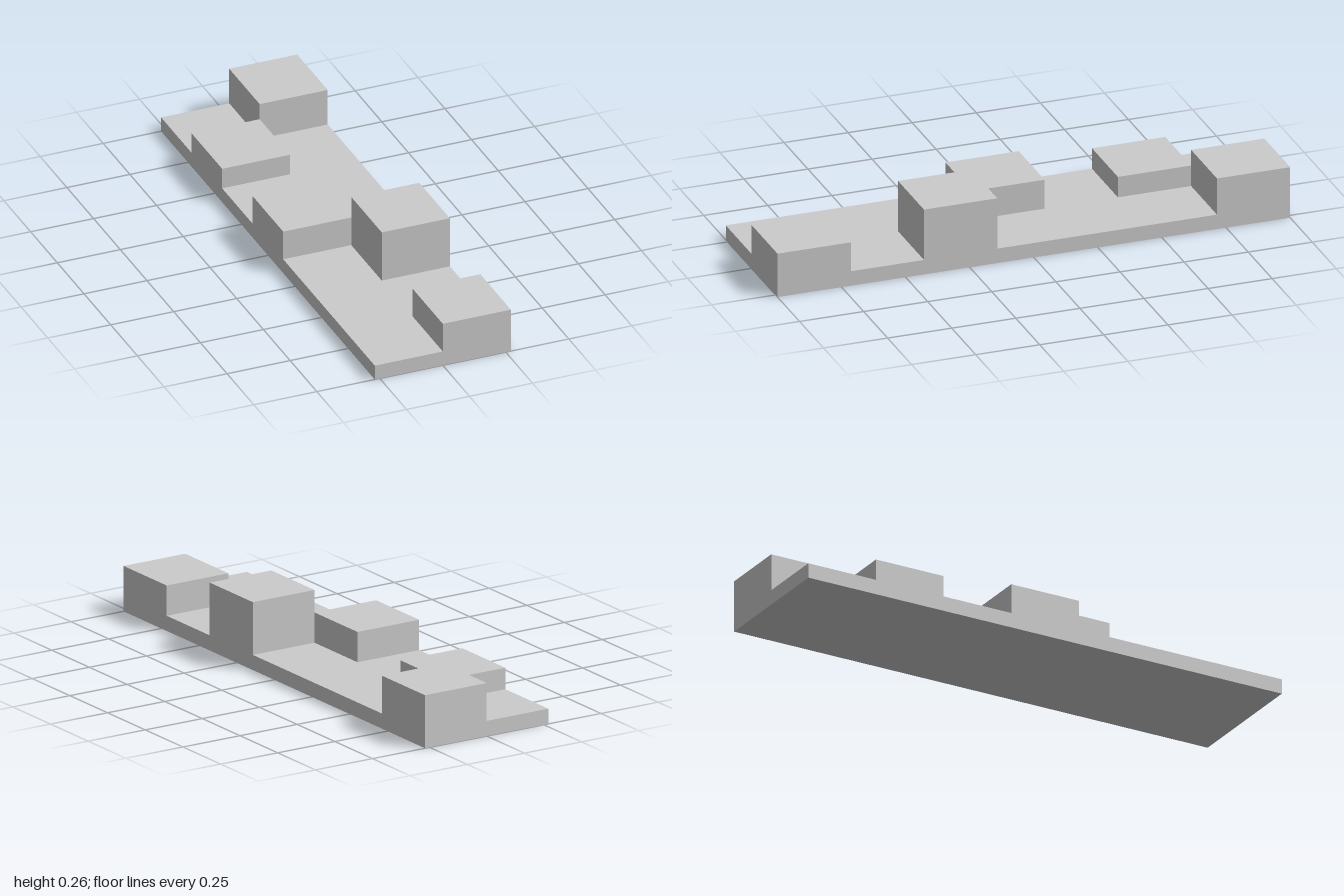
import * as THREE from 'three';

const HALF_W = 0.27, BASE_H = 0.058, CELL = 2 / 7;

export function createModel() {
  const model = new THREE.Group();
  model.name = 'steppedBlockPlate';
  const material = new THREE.MeshStandardMaterial({ color: 0xcccccc, flatShading: true });

  // Box given by its lower and upper limits on each axis
  function addBox(name, x0, x1, y0, y1, z0, z1) {
    const mesh = new THREE.Mesh(new THREE.BoxGeometry(x1 - x0, y1 - y0, z1 - z0), material);
    mesh.position.set((x0 + x1) / 2, (y0 + y1) / 2, (z0 + z1) / 2);
    mesh.name = name;
    model.add(mesh);
  }

  // Flat plate, seven cells long and two wide
  addBox('basePlate', -HALF_W, HALF_W, 0, BASE_H, -1, 1);

  // Raised blocks: name, side (+1 left, -1 right), cell counted from the back, top height
  const blocks = [
    ['backLeftBlock', 1, 0, 0.203],
    ['backRightBlock', -1, 1, 0.14],
    ['middleRightBlock', -1, 3, 0.174],
    ['tallLeftBlock', 1, 4, 0.26],
    ['frontLeftBlock', 1, 6, 0.174],
  ];
  for (const [name, side, cell, top] of blocks) {
    const z = -1 + cell * CELL;
    addBox(name, side > 0 ? 0 : -HALF_W, side > 0 ? HALF_W : 0, BASE_H, top, z, z + CELL);
  }
  return model;
}
